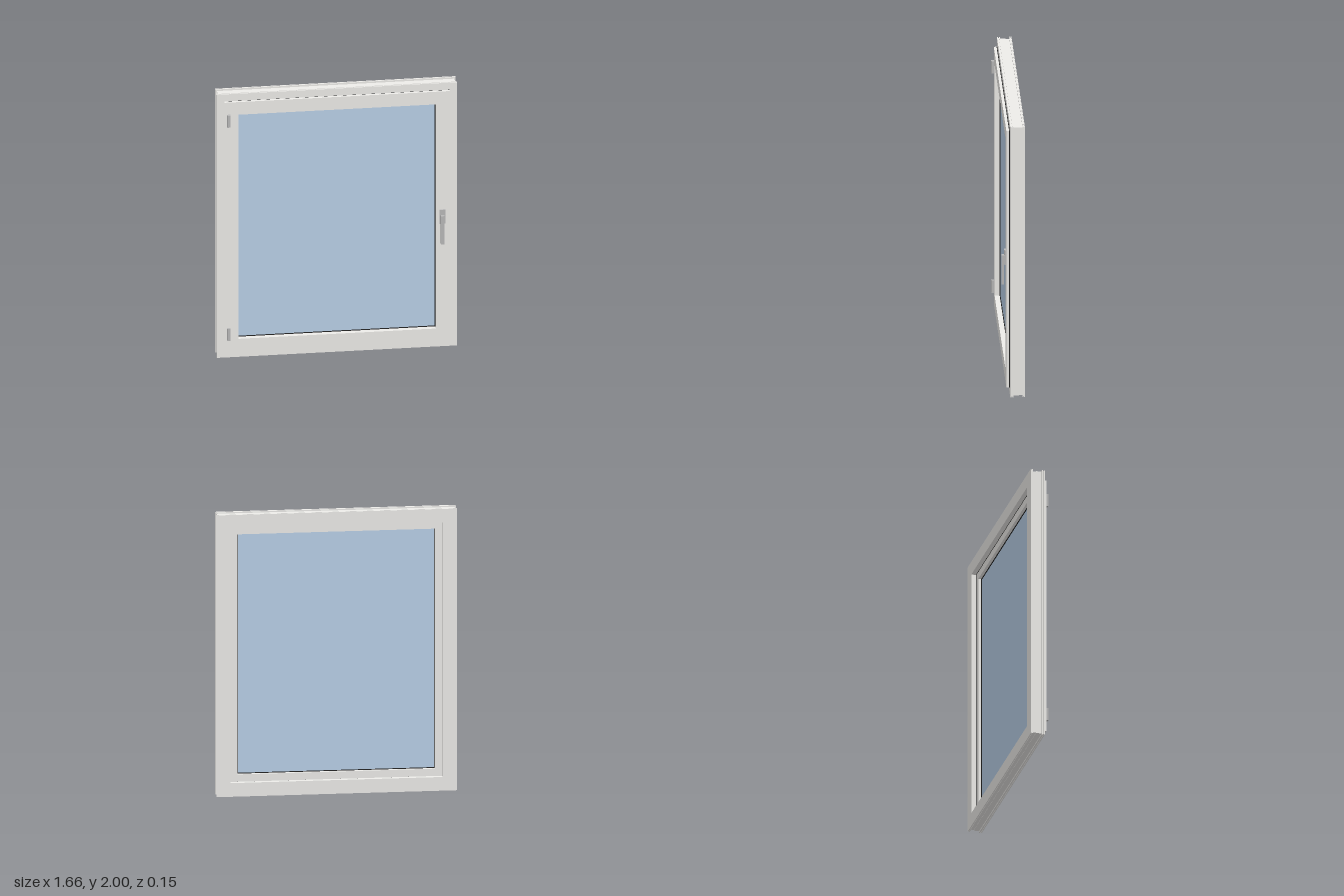
import * as THREE from 'three';

const HALF_W = 0.83, HEIGHT = 2;
const mat = (color) => new THREE.MeshStandardMaterial({ color });

// Sweeps a closed [inset, z] profile round the window outline with mitred corners.
// Profile order: outer side back to front, then inner side front to back.
function ring(name, profile, material) {
  const corners = [[-1, -1], [1, -1], [1, 1], [-1, 1]];
  const point = (c, [inset, z]) => [
    c[0] * (HALF_W - inset),
    HEIGHT / 2 + c[1] * (HEIGHT / 2 - inset),
    z,
  ];
  const positions = [];
  for (let s = 0; s < 4; s++) {
    const c1 = corners[s], c2 = corners[(s + 1) % 4];
    profile.forEach((p, i) => {
      const q = profile[(i + 1) % profile.length];
      const a = point(c1, p), b = point(c2, p), c = point(c2, q), d = point(c1, q);
      positions.push(...a, ...b, ...c, ...a, ...c, ...d);
    });
  }
  const geometry = new THREE.BufferGeometry();
  geometry.setAttribute('position', new THREE.Float32BufferAttribute(positions, 3));
  geometry.computeVertexNormals();
  const mesh = new THREE.Mesh(geometry, material);
  mesh.name = name;
  return mesh;
}

// Rectangular ring between two insets and two depths
const flatRing = (name, outer, inner, z0, z1, material) =>
  ring(name, [[outer, z0], [outer, z1], [inner, z1], [inner, z0]], material);

// Box given by its limits on each axis
function box(name, [x0, x1], [y0, y1], [z0, z1], material) {
  const mesh = new THREE.Mesh(new THREE.BoxGeometry(x1 - x0, y1 - y0, z1 - z0), material);
  mesh.position.set((x0 + x1) / 2, (y0 + y1) / 2, (z0 + z1) / 2);
  mesh.name = name;
  return mesh;
}

// Outer edge of a flange: two lips with a shallow groove between
const lips = (z0, z1) => {
  const third = (z1 - z0) / 3;
  return [
    [0, z0], [0, z0 + third], [0.005, z0 + third],
    [0.005, z1 - third], [0, z1 - third], [0, z1],
  ];
};

export function createModel() {
  const model = new THREE.Group();
  model.name = 'window';
  const profileMat = mat(0xedece9);
  const metal = mat(0xb8b8b8);
  const rubber = mat(0x222222);
  const glass = mat(0xb9d0e8);

  // Fixed outer frame: two lipped flanges, stepped channel, rebate for the sash
  model.add(ring('outerFrame', [
    ...lips(-0.077, -0.062),
    [0.012, -0.062], [0.012, -0.037], [0.009, -0.037], [0.009, 0.002],
    ...lips(0.002, 0.023),
    [0.075, 0.023], [0.075, -0.045], [0.097, -0.045], [0.097, -0.077],
  ], profileMat));

  // Opening sash, overlapping the frame at the front
  const sash = new THREE.Group();
  sash.name = 'sash';
  sash.add(ring('sashFrame', [
    [0.085, -0.041], [0.085, 0.028], [0.052, 0.028], [0.052, 0.047],
    [0.148, 0.047], [0.148, -0.041],
  ], profileMat));
  sash.add(box('glassPane', [-0.69, 0.69], [0.14, 1.86], [-0.016, 0.007], glass));

  // Rubber seals: both sides of the glass, and between sash and frame
  sash.add(flatRing('frontGlassSeal', 0.146, 0.153, 0.005, 0.012, rubber));
  sash.add(flatRing('backGlassSeal', 0.146, 0.153, -0.021, -0.014, rubber));
  sash.add(flatRing('overlapSeal', 0.053, 0.065, 0.022, 0.029, rubber));
  sash.add(flatRing('stopSeal', 0.088, 0.096, -0.046, -0.04, rubber));
  model.add(sash);

  // Hinges on the right side
  for (const [name, y] of [['upperHinge', 1.811], ['lowerHinge', 0.19]]) {
    model.add(box(name, [-0.762, -0.739], [y - 0.045, y + 0.045], [0.046, 0.066], metal));
  }

  // Handle: back plate, neck and lever turned down
  const handle = new THREE.Group();
  handle.name = 'handle';
  handle.add(box('handlePlate', [0.705, 0.746], [0.947, 1.052], [0.046, 0.059], metal));
  handle.add(box('handleNeck', [0.713, 0.738], [0.947, 1.013], [0.058, 0.064], metal));
  handle.add(box('handleLever', [0.713, 0.738], [0.798, 1.013], [0.062, 0.077], metal));
  model.add(handle);

  return model;
}
